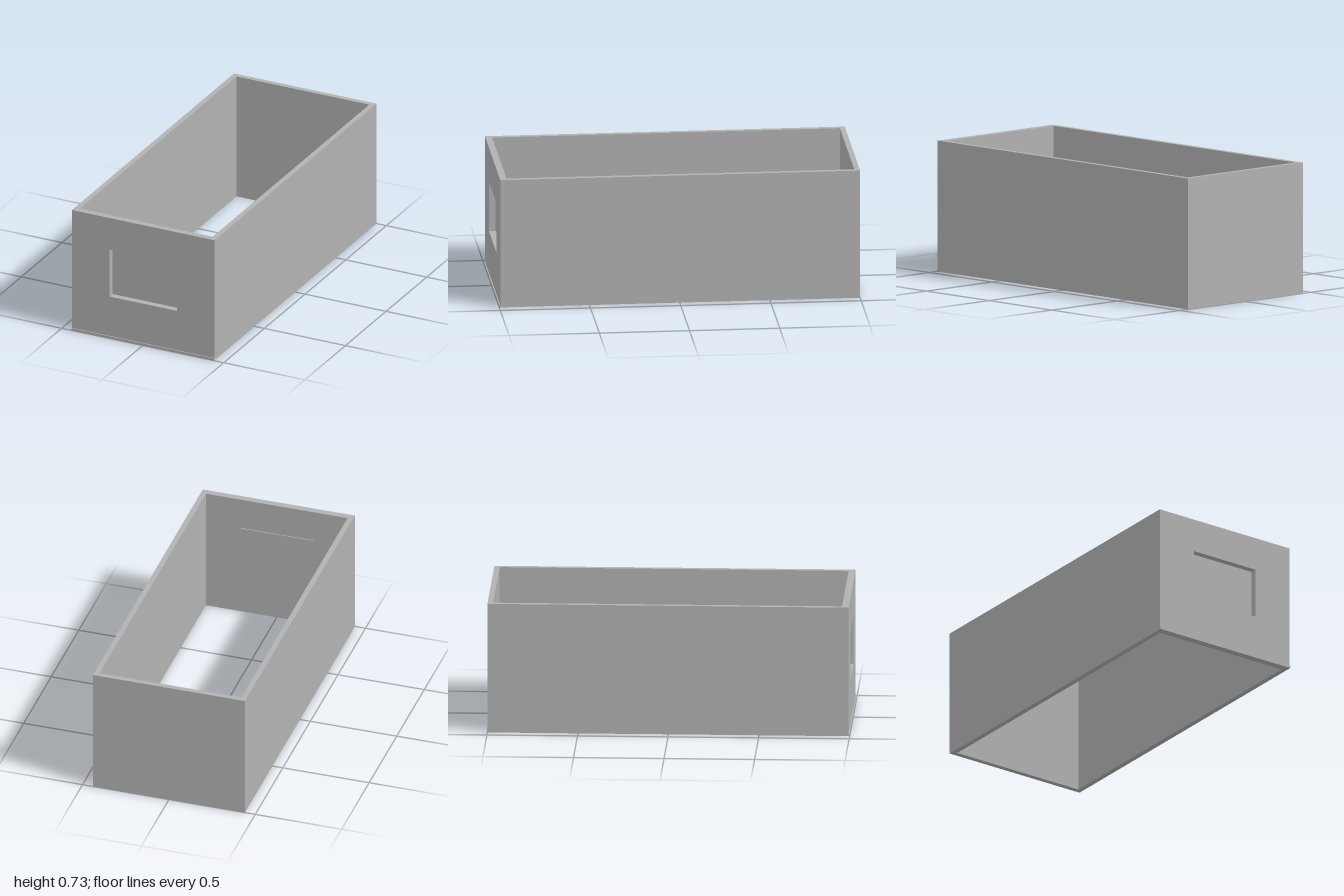
import * as THREE from 'three';

const W = 0.44, H = 0.73, WALL = 0.03;
const BACK = -1, FRONT_IN = 0.957, FRONT_OUT = 0.994;

const grey = new THREE.MeshStandardMaterial({ color: 0xb2b2b2 });
grey.name = 'grey';

function polygon(points) {
  return new THREE.Shape(points.map(([x, y]) => new THREE.Vector2(x, y)));
}

function part(group, name, geometry) {
  const mesh = new THREE.Mesh(geometry, grey);
  mesh.name = name;
  group.add(mesh);
  return mesh;
}

export function createModel() {
  const group = new THREE.Group();
  group.name = 'openBox';

  // Side and back walls: a U-shaped plan (shape y is -z), raised to full height
  const xi = W - WALL;
  const plan = polygon([
    [-W, -FRONT_IN], [-xi, -FRONT_IN], [-xi, -BACK - WALL], [xi, -BACK - WALL],
    [xi, -FRONT_IN], [W, -FRONT_IN], [W, -BACK], [-W, -BACK],
  ]);
  const walls = new THREE.ExtrudeGeometry(plan, { depth: H, bevelEnabled: false });
  walls.rotateX(-Math.PI / 2);
  part(group, 'sideAndBackWalls', walls);

  // Front wall with a rectangular window opening
  const face = polygon([[-W, 0], [W, 0], [W, H], [-W, H]]);
  face.holes.push(polygon([[-0.208, 0.252], [-0.208, 0.538], [0.208, 0.538], [0.208, 0.252]]));
  const front = new THREE.ExtrudeGeometry(face, { depth: FRONT_OUT - FRONT_IN, bevelEnabled: false });
  part(group, 'frontWall', front).position.z = FRONT_IN;

  // Thin panel closing the opening from inside
  part(group, 'windowPanel', new THREE.BoxGeometry(0.432, 0.302, 0.005))
    .position.set(0, 0.395, FRONT_IN - 0.0025);

  // Narrow lip along the bottom of the front
  part(group, 'frontLip', new THREE.BoxGeometry(W * 2, 0.013, 1 - FRONT_OUT))
    .position.set(0, 0.0065, (1 + FRONT_OUT) / 2);

  return group;
}
